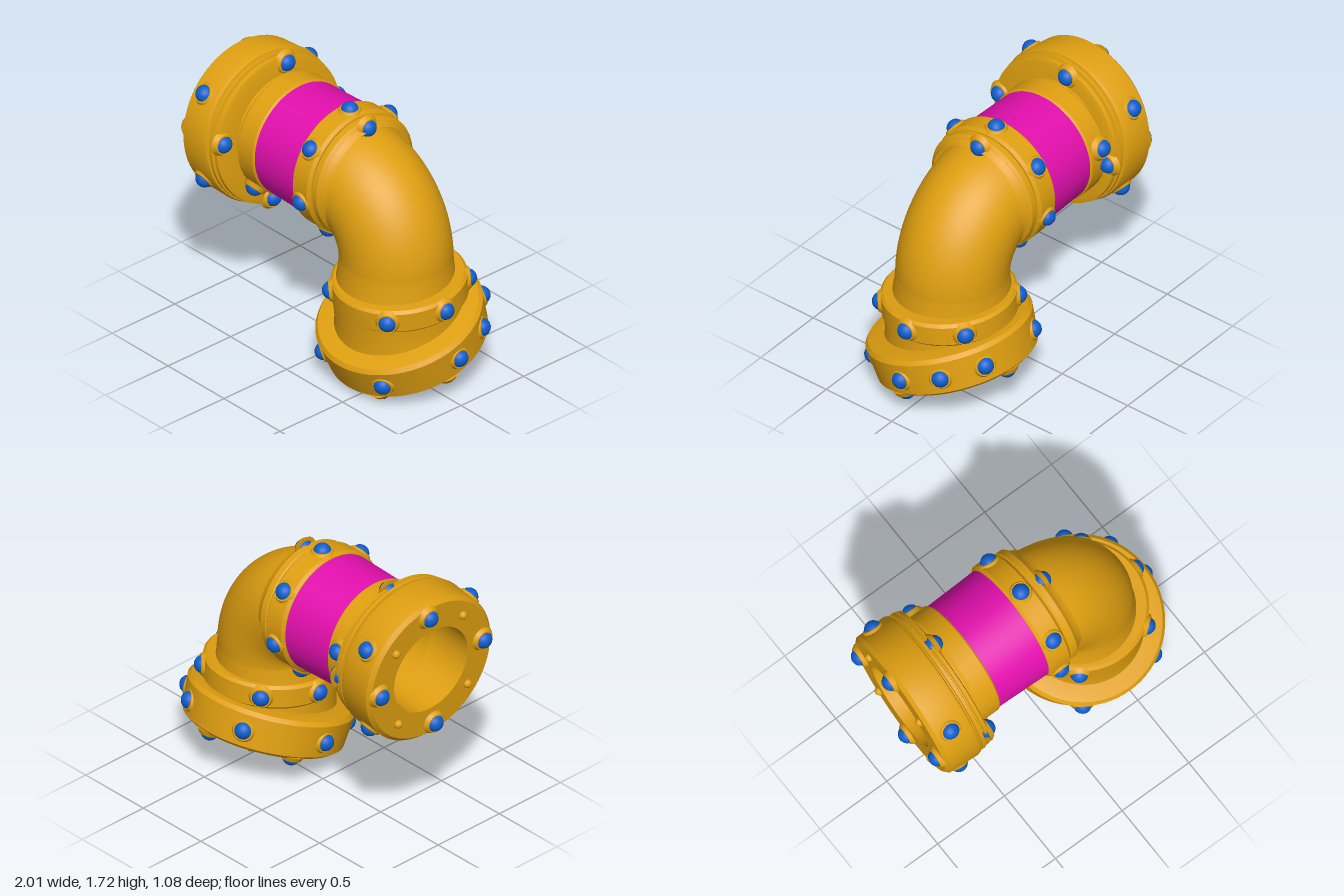
import * as THREE from 'three';
import { toCreasedNormals } from 'three/addons/utils/BufferGeometryUtils.js';

const SEG = 72;
const UP = new THREE.Vector3(0, 1, 0);
const V = (x, y, z) => new THREE.Vector3(x, y, z);

export function createModel() {
  const ochre = new THREE.MeshStandardMaterial({ color: 0xdf9f10, side: THREE.DoubleSide });
  ochre.name = 'ochre';
  const magenta = new THREE.MeshStandardMaterial({ color: 0xe30fae });
  magenta.name = 'magenta';
  const blue = new THREE.MeshStandardMaterial({ color: 0x0f5fcc });
  blue.name = 'blue';

  const model = new THREE.Group();
  model.name = 'pipeElbow';

  const sphere = new THREE.SphereGeometry(0.056, 20, 14);
  const bossShape = new THREE.CylinderGeometry(0.062, 0.08, 0.03, 24);
  const bumpShape = new THREE.SphereGeometry(0.028, 14, 10);

  function add(parent, name, geometry, material) {
    const mesh = new THREE.Mesh(geometry, material);
    mesh.name = name;
    parent.add(mesh);
    return mesh;
  }

  // group whose local y runs along the given axis
  function frame(name, origin, axis) {
    const g = new THREE.Group();
    g.name = name;
    g.position.copy(origin);
    g.quaternion.setFromUnitVectors(UP, axis.normalize());
    model.add(g);
    return g;
  }

  // turned part from (radius, height) pairs
  function turned(parent, name, profile, material = ochre) {
    const pts = profile.map(([r, y]) => new THREE.Vector2(r, y));
    return add(parent, name, toCreasedNormals(new THREE.LatheGeometry(pts, SEG), 0.6), material);
  }

  // closed ring with chamfered outer edges
  function ring(parent, name, inner, outer, y0, y1, c = 0.018) {
    return turned(parent, name, [[inner, y0], [outer - c, y0], [outer, y0 + c],
      [outer, y1 - c], [outer - c, y1], [inner, y1], [inner, y0]]);
  }

  // round bolt head on a raised boss
  function bolt(parent, pos, dir) {
    const head = add(parent, 'bolt', sphere, blue);
    head.position.copy(pos).addScaledVector(dir, -0.002);
    const boss = add(parent, 'boltBoss', bossShape, ochre);
    boss.position.copy(pos);
    boss.quaternion.setFromUnitVectors(UP, dir);
  }

  const polar = (deg, r, y) => {
    const a = THREE.MathUtils.degToRad(deg);
    return V(r * Math.cos(a), y, r * Math.sin(a));
  };
  const rimBolts = (parent, r, y, angles) =>
    angles.forEach(a => bolt(parent, polar(a, r, y), polar(a, 1, 0)));
  const faceBolts = (parent, r, y, side, angles) =>
    angles.forEach(a => bolt(parent, polar(a, r, y), V(0, side, 0)));
  const faceBumps = (parent, r, y, angles) =>
    angles.forEach(a => add(parent, 'faceBump', bumpShape, ochre).position.copy(polar(a, r, y)));

  // side flange with grooved back plate; angles run from the top toward the front
  const side = frame('sideFlange', V(-0.915, 1.21, 0.02), V(-1, -0.07, -0.04));
  turned(side, 'sideFlangeBody', [
    [0.29, -0.33], [0.45, -0.33], [0.475, -0.322], [0.478, -0.3], [0.462, -0.295],
    [0.462, -0.288], [0.485, -0.283], [0.485, -0.262], [0.465, -0.257], [0.465, -0.25],
    [0.49, -0.243], [0.498, -0.225], [0.49, -0.025], [0.465, 0], [0.29, 0], [0.29, -0.33],
  ]);
  rimBolts(side, 0.49, -0.115, [54, 124, 230, 304]);
  faceBolts(side, 0.405, 0.01, 1, [-4, 85, 176, 270]);
  faceBumps(side, 0.38, 0.002, [40, 130, 222, 312]);
  faceBolts(side, 0.435, -0.33, -1, [-8, 84, 172, 268]);

  // straight run: neck, collars and painted sleeve
  const run = frame('straightRun', V(0, 1.23, 0), V(-1, 0, 0));
  turned(run, 'sideNeck', [[0.36, 0.42], [0.36, 0.65]]);
  ring(run, 'outerCollar', 0.3, 0.378, 0.425, 0.59);
  rimBolts(run, 0.39, 0.53, [134, 188, 285]);
  turned(run, 'sleeve', [[0.379, 0.06], [0.374, 0.2], [0.367, 0.45]], magenta);
  ring(run, 'innerCollar', 0.3, 0.4, -0.085, 0.075);
  ring(run, 'innerCollarStep', 0.3, 0.385, -0.155, -0.08);
  turned(run, 'innerCollarFillet', [[0.34, -0.2], [0.352, -0.17], [0.37, -0.15]]);
  rimBolts(run, 0.395, -0.005, [0, 1, 2, 3, 4, 5, 6].map(i => i * 360 / 7));
  faceBolts(run, 0.345, -0.165, -1, [0]);

  // quarter bend
  class Bend extends THREE.Curve {
    getPoint(t, target = new THREE.Vector3()) {
      const a = (1 - t) * Math.PI / 2;
      return target.set(0.42 * Math.cos(a), 0.8 + 0.42 * Math.sin(a), 0);
    }
  }
  add(model, 'elbow', new THREE.TubeGeometry(new Bend(), 40, 0.342, SEG), ochre);

  // inner wall of the pipe
  const bore = new THREE.CurvePath();
  bore.add(new THREE.LineCurve3(V(-0.62, 1.22, 0), V(0, 1.22, 0)));
  bore.add(new Bend());
  bore.add(new THREE.LineCurve3(V(0.42, 0.8, 0), V(0.44, 0.4, 0)));
  add(model, 'bore', new THREE.TubeGeometry(bore, 80, 0.29, 48), ochre);

  // lower collar; angles run from the left side toward the front
  const lower = frame('lowerCollar', V(0.45, 0.615, 0), V(0, 1, 0.085));
  ring(lower, 'lowerCollarRing', 0.29, 0.41, -0.08, 0.075);
  rimBolts(lower, 0.41, 0, [0, 52, 128, 180, 232, 308]);
  const straight = frame('lowerPipe', V(0.42, 0, 0), V(0, 1, 0));
  turned(straight, 'lowerPipeWall', [[0.36, 0.66], [0.348, 0.73], [0.342, 0.81]]);
  const neck = frame('lowerNeck', V(0.447, 0.47, 0), V(0, 1, 0.1));
  turned(neck, 'lowerNeckWall', [[0.405, -0.14], [0.39, -0.05], [0.392, 0.1]]);

  // tilted base flange
  const base = frame('baseFlange', V(0.45, 0.2, -0.07), V(0, 0.945, 0.325));
  turned(base, 'baseFlangeBody', [
    [0.34, 0], [0.47, 0], [0.495, 0.02], [0.515, 0.225], [0.495, 0.25],
    [0.42, 0.262], [0.29, 0.262], [0.31, 0.2], [0.34, 0],
  ]);
  rimBolts(base, 0.5, 0.12, [0, 58, 122, 180, 242, 297, 329]);
  faceBolts(base, 0.42, -0.006, -1, [10, 66, 200, 275]);
  faceBumps(base, 0.4, 0, [38, 110, 155, 235, 325]);

  return model;
}
